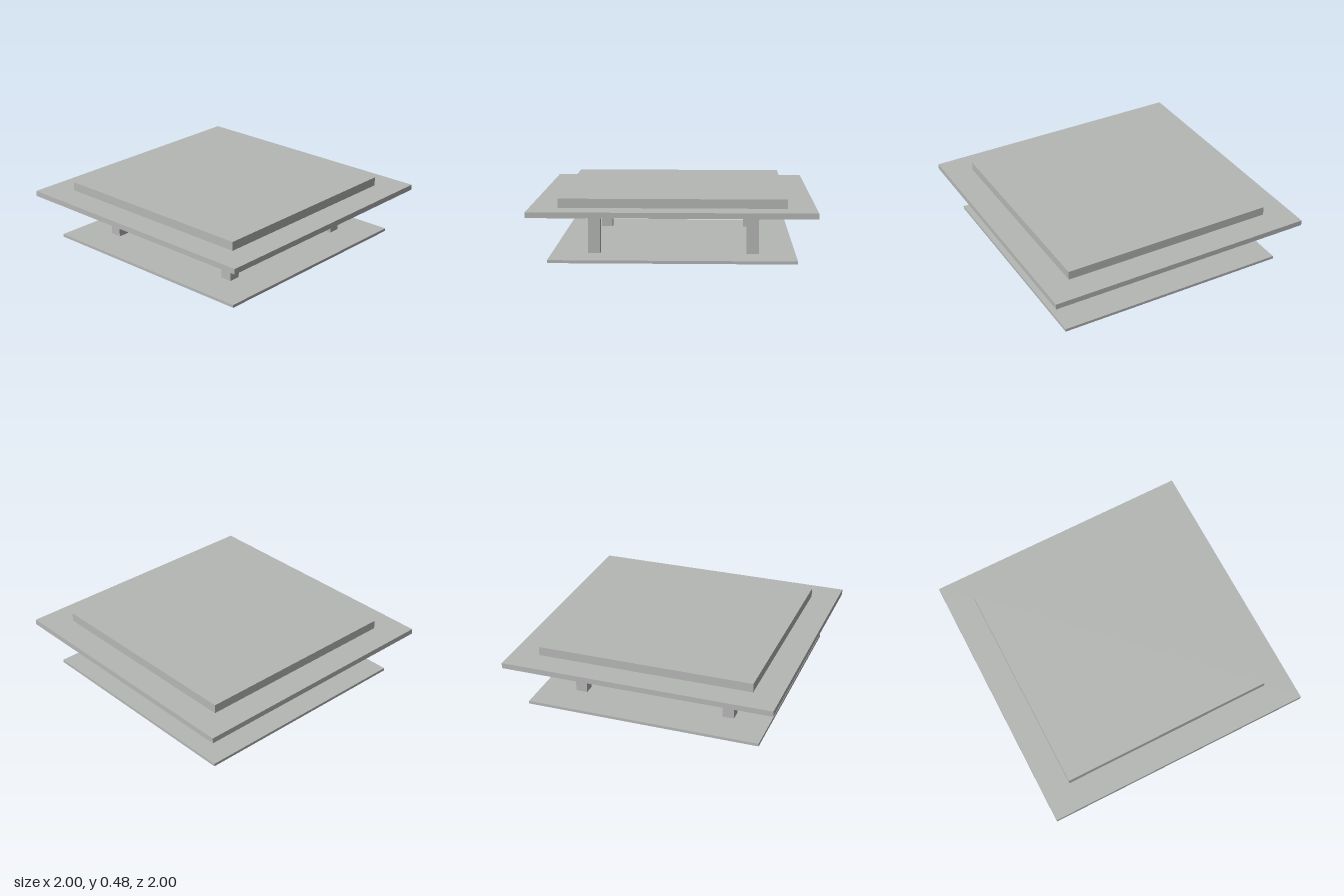
import * as THREE from 'three';

export function createModel() {
  const group = new THREE.Group();
  const grey = new THREE.MeshStandardMaterial({ color: 0xb5b7b5 });
  grey.name = 'light grey';

  // Square block of the given width, spanning bottom to top
  function block(name, width, bottom, top, x = 0, z = 0) {
    const mesh = new THREE.Mesh(new THREE.BoxGeometry(width, top - bottom, width), grey);
    mesh.name = name;
    mesh.position.set(x, (bottom + top) / 2, z);
    group.add(mesh);
  }

  // Stacked top and the thin lower shelf
  block('raisedTop', 1.6, 0.415, 0.48);
  block('tableTop', 2, 0.375, 0.415);
  block('lowerShelf', 1.74, 0.037, 0.058);

  // Four legs passing through the shelf
  for (const x of [-1, 1]) {
    for (const z of [-1, 1]) {
      const side = (x > 0 ? 'Left' : 'Right');
      block((z > 0 ? 'front' : 'back') + side + 'Leg', 0.086, 0, 0.375, x * 0.566, z * 0.566);
    }
  }
  return group;
}
